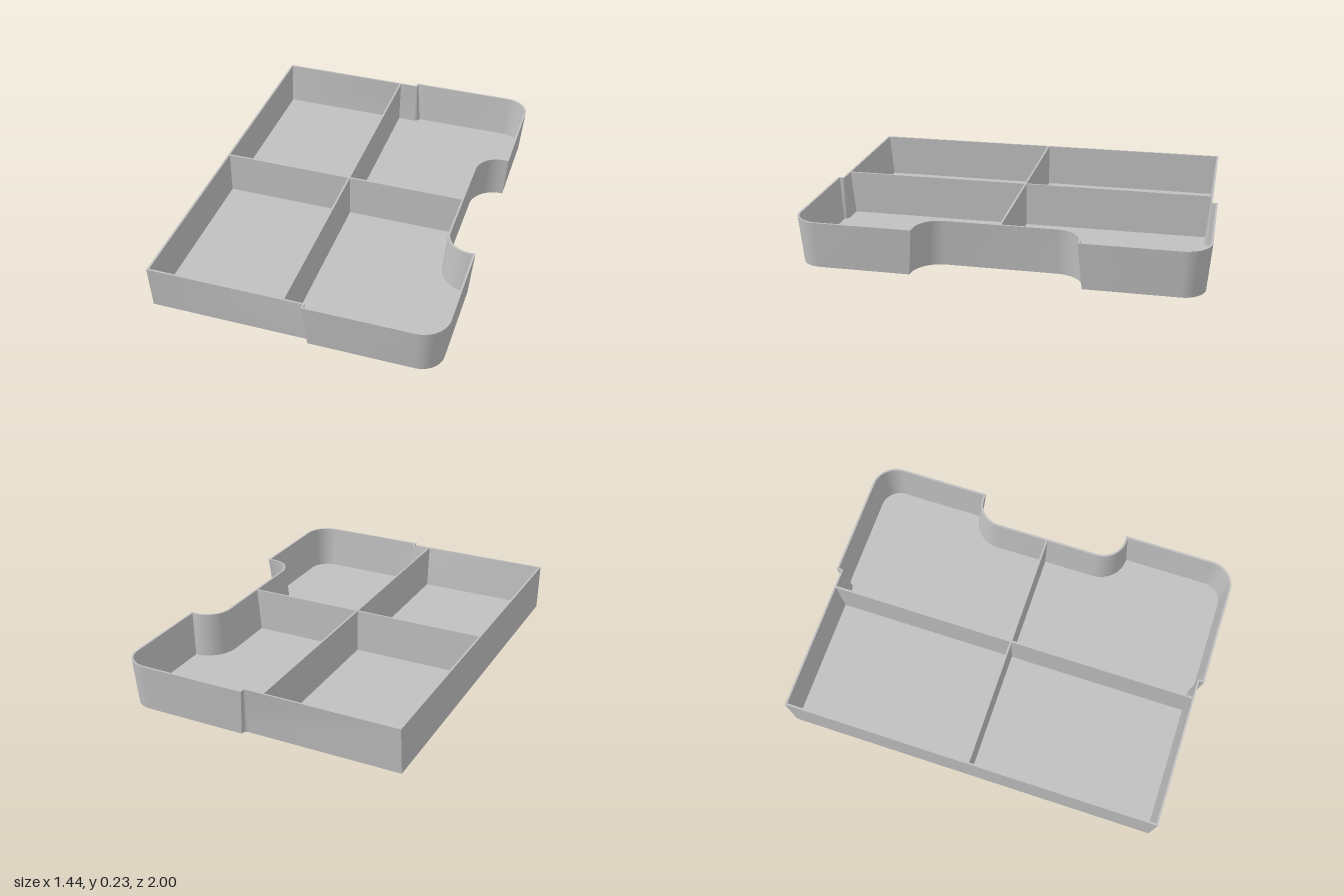
import * as THREE from 'three';
import { toCreasedNormals } from 'three/addons/utils/BufferGeometryUtils.js';

const H = 0.235, FLOOR = 0.01, WALL = 0.01, DRAFT = 0.02;
const LEFT = -0.72, RIGHT = 0.72, NARROW = 0.975, WIDE = 1;
const STEP_X = 0.054, NOTCH_X = 0.57, NOTCH_Z = 0.395;
const CORNER_R = 0.13, NOTCH_R = 0.12;

// Tray outline moved inwards by d; the straight side at x = left has no draft
function outline(d, left) {
  const half = [[left, NARROW - d]];
  const arc = (cx, cz, r, from, to, n) => {
    for (let i = 0; i <= n; i++) {
      const a = from + (to - from) * i / n;
      half.push([cx + r * Math.cos(a), cz + r * Math.sin(a)]);
    }
  };
  // small shoulder where the tray widens
  const r = Math.max(d, 0.001);
  const sweep = Math.acos(Math.max(0, (r - (WIDE - NARROW)) / r));
  arc(STEP_X, NARROW, r, -Math.PI / 2, -Math.PI / 2 + sweep, 5);
  half.push([STEP_X + r * Math.sin(sweep), WIDE - d]);
  // rounded outer corner, then the notch
  arc(RIGHT - CORNER_R, WIDE - CORNER_R, CORNER_R - d, Math.PI / 2, 0, 12);
  half.push([RIGHT - d, NOTCH_Z + d]);
  arc(NOTCH_X + NOTCH_R, NOTCH_Z - NOTCH_R, NOTCH_R + d, Math.PI / 2, Math.PI, 12);
  const mirrored = half.map(([x, z]) => [x, -z]).reverse();
  return [...half, ...mirrored];
}

// Skin between successive rings of equal point count
function loft(rings) {
  const pos = [];
  for (let k = 0; k < rings.length - 1; k++) {
    const a = rings[k], b = rings[k + 1], n = a.pts.length;
    for (let i = 0; i < n; i++) {
      const j = (i + 1) % n;
      const p = [a.pts[i][0], a.y, a.pts[i][1]], q = [a.pts[j][0], a.y, a.pts[j][1]];
      const s = [b.pts[j][0], b.y, b.pts[j][1]], t = [b.pts[i][0], b.y, b.pts[i][1]];
      pos.push(...p, ...q, ...s, ...p, ...s, ...t);
    }
  }
  const g = new THREE.BufferGeometry();
  g.setAttribute('position', new THREE.Float32BufferAttribute(pos, 3));
  return toCreasedNormals(g, 0.5);
}

function plate(pts, y, up) {
  const shape = new THREE.Shape(pts.map(([x, z]) => new THREE.Vector2(x, -z)));
  const g = new THREE.ShapeGeometry(shape);
  g.rotateX(up ? -Math.PI / 2 : Math.PI / 2);
  return g.translate(0, y, 0);
}

// Upright partition whose ends follow the sloping walls
function partition(topA, topB, bottomA, bottomB) {
  const shape = new THREE.Shape([
    new THREE.Vector2(bottomA, 0.004), new THREE.Vector2(bottomB, 0.004),
    new THREE.Vector2(topB, H), new THREE.Vector2(topA, H),
  ]);
  const g = new THREE.ExtrudeGeometry(shape, { depth: WALL, bevelEnabled: false });
  return g.translate(0, 0, -WALL / 2);
}

export function createModel() {
  const model = new THREE.Group();
  const grey = new THREE.MeshStandardMaterial({ color: 0xc0c0c0 });
  grey.name = 'grey plastic';
  const add = (name, geometry) => {
    const mesh = new THREE.Mesh(geometry, grey);
    mesh.name = name;
    model.add(mesh);
    return mesh;
  };

  const outerBottom = outline(DRAFT, LEFT);
  const innerBottom = outline(DRAFT + WALL, LEFT + WALL);
  add('trayWall', loft([
    { pts: outerBottom, y: 0 },
    { pts: outline(0, LEFT), y: H },
    { pts: outline(WALL, LEFT + WALL), y: H },
    { pts: innerBottom, y: FLOOR },
  ]));
  add('trayFloor', plate(innerBottom, FLOOR, true));
  add('trayUnderside', plate(outerBottom, 0, false));

  // Crossing partitions
  add('lengthwiseDivider', partition(LEFT + 0.005, NOTCH_X - 0.005, LEFT + 0.005, NOTCH_X - 0.025));
  const cross = add('crosswiseDivider', partition(-0.97, 0.97, -0.95, 0.95));
  cross.rotation.y = Math.PI / 2;
  cross.position.x = -0.04;

  return model;
}
